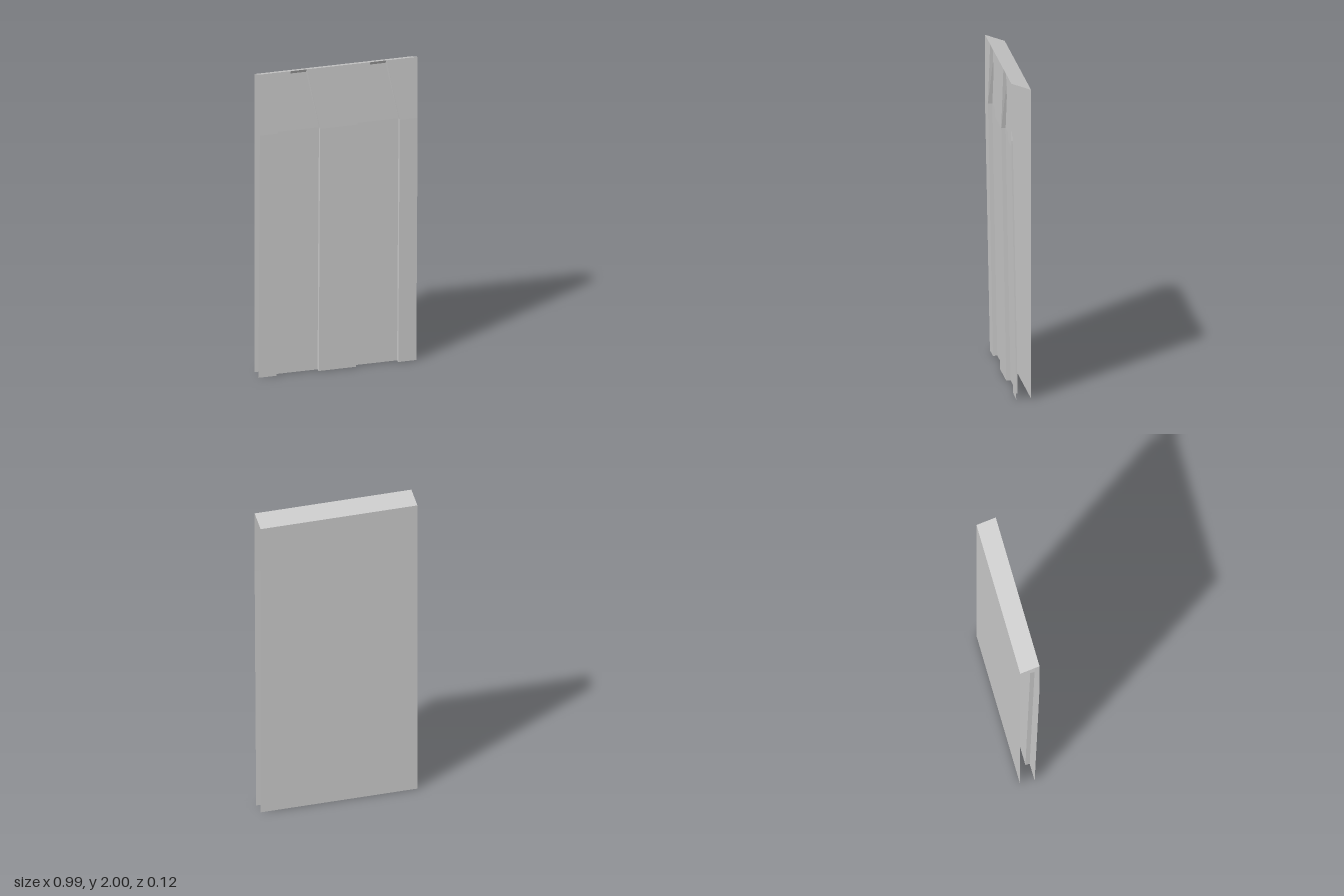
import * as THREE from 'three';

const HALF_W = 0.496, FRONT = 0.0605, BACK = -0.0605, FOOT = 0.03;
const DEPTH = 0.027, SHOULDER = 1.6, TOP = 2, BACK_TOP = 1.955;
const GROOVE_X = 0.25, WIDE = 0.133, NARROW = 0.051;

const material = new THREE.MeshStandardMaterial({
  color: 0xcccccc, flatShading: true, side: THREE.DoubleSide,
});

// Sheet through rows of points: rows run bottom to top, points left to right.
function sheet(name, rows) {
  const pos = [];
  for (let i = 0; i < rows.length - 1; i++) {
    for (let j = 0; j < rows[i].length - 1; j++) {
      const a = rows[i][j], b = rows[i][j + 1], c = rows[i + 1][j + 1], d = rows[i + 1][j];
      pos.push(...a, ...b, ...c, ...a, ...c, ...d);
    }
  }
  const geometry = new THREE.BufferGeometry();
  geometry.setAttribute('position', new THREE.Float32BufferAttribute(pos, 3));
  geometry.computeVertexNormals();
  const mesh = new THREE.Mesh(geometry, material);
  mesh.name = name;
  return mesh;
}

// Straight edge between two x positions.
const edge = (x0, x1, y, z) => [[x0, y, z], [x1, y, z]];

// Cross-section of the front panel with its two grooves.
function section(y, z, half, floorY = y) {
  const row = [[-HALF_W, y, z]];
  for (const cx of [-GROOVE_X, GROOVE_X]) {
    const l = cx - half, r = cx + half, floorZ = z - DEPTH;
    row.push([l, y, z], [l, floorY, floorZ], [r, floorY, floorZ], [r, y, z]);
  }
  row.push([HALF_W, y, z]);
  return row;
}

export function createModel() {
  const model = new THREE.Group();
  model.name = 'groovedPanel';

  // Front panel: leans back below the shoulder, grooves taper above it
  model.add(sheet('frontPanel', [
    section(0, FOOT, WIDE),
    section(SHOULDER, FRONT, WIDE),
    section(TOP, FRONT, NARROW, TOP - DEPTH),
  ]));

  // Slanted caps closing the tops of the grooves
  for (const cx of [-GROOVE_X, GROOVE_X]) {
    model.add(sheet(cx < 0 ? 'rightGrooveCap' : 'leftGrooveCap', [
      edge(cx - NARROW, cx + NARROW, TOP - DEPTH, FRONT - DEPTH),
      edge(cx - NARROW, cx + NARROW, TOP, FRONT),
    ]));
  }

  // Top sloping down to the back; sides and bottom stay open
  model.add(sheet('topPanel', [
    edge(-HALF_W, HALF_W, TOP, FRONT),
    edge(-HALF_W, HALF_W, BACK_TOP, BACK),
  ]));

  // Upright back panel
  model.add(sheet('backPanel', [
    edge(HALF_W, -HALF_W, 0, BACK),
    edge(HALF_W, -HALF_W, BACK_TOP, BACK),
  ]));

  return model;
}
